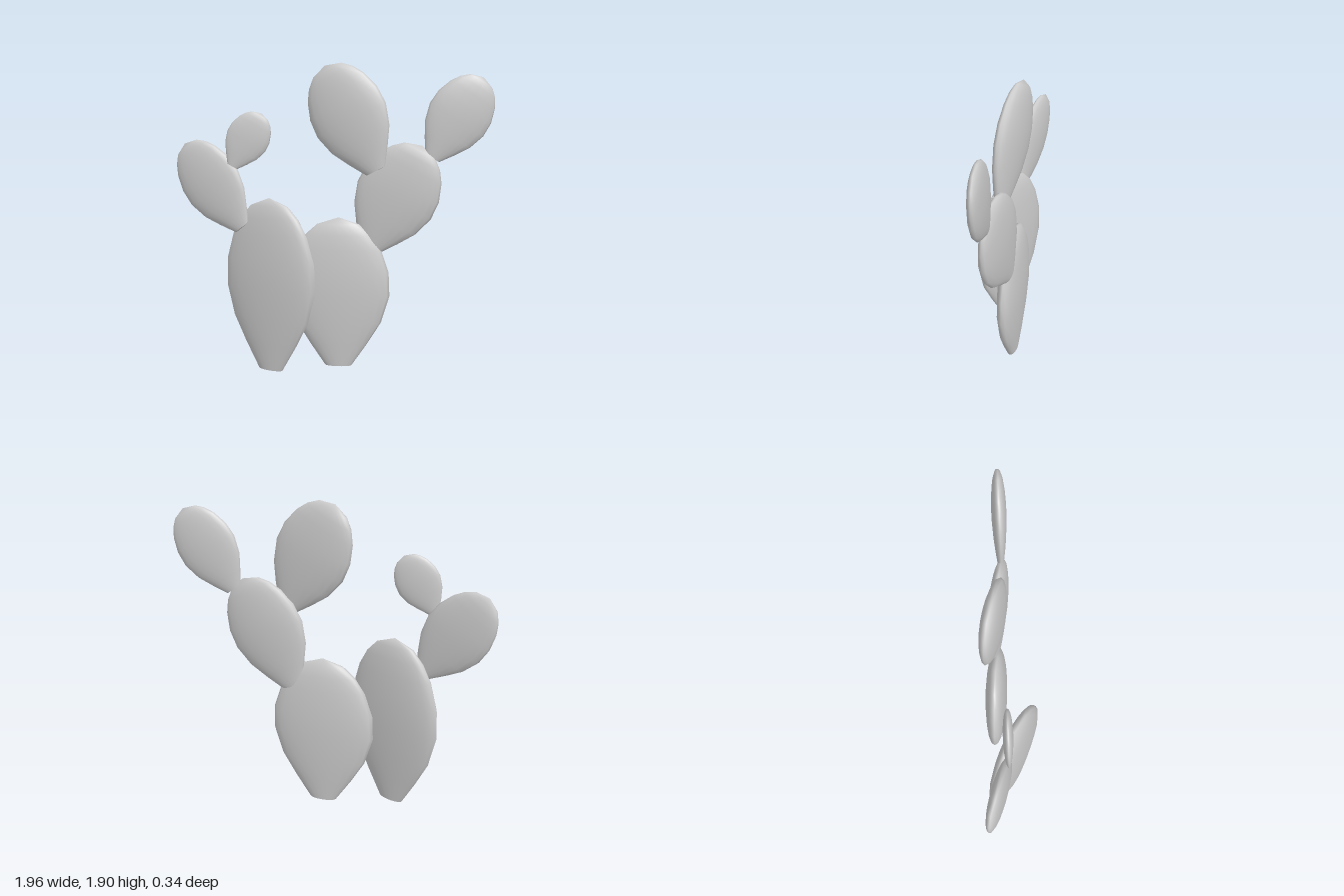
import * as THREE from 'three';
import { mergeVertices } from 'three/addons/utils/BufferGeometryUtils.js';

const SEGMENTS = 20;
// pad outline as [height, half width, half thickness], all relative
const PROFILE = [
  [0, 0.26, 0.47], [0.15, 0.56, 0.7], [0.3, 0.83, 0.87], [0.48, 0.99, 1], [0.64, 0.97, 1],
  [0.79, 0.82, 0.87], [0.885, 0.64, 0.7], [0.955, 0.41, 0.46], [1, 0, 0],
];

const material = new THREE.MeshStandardMaterial({ color: 0xcccccc });

// a flattened egg: a lathe whose depth is squeezed to the thickness profile
function padGeometry(length, halfWidth, halfThickness) {
  const points = PROFILE.map(([h, w]) => new THREE.Vector2(w * halfWidth, h * length));
  let geometry = new THREE.LatheGeometry(points, SEGMENTS);
  const position = geometry.attributes.position;
  for (let i = 0; i < position.count; i++) {
    const [, w, t] = PROFILE[i % PROFILE.length];
    if (w > 0) position.setZ(i, position.getZ(i) * (t * halfThickness) / (w * halfWidth));
  }
  geometry.deleteAttribute('uv');
  geometry.deleteAttribute('normal');
  geometry = mergeVertices(geometry, 1e-5);
  geometry.computeVertexNormals();
  return geometry;
}

// tilt leans the pad in its own plane, turn then spins it about the vertical
function makePad({ name, base, length, halfWidth, halfThickness, tilt = 0, turn = 0 }) {
  const pad = new THREE.Group();
  pad.name = name;
  const body = new THREE.Mesh(padGeometry(length, halfWidth, halfThickness), material);
  body.name = name + 'Body';

  // flat cut at the foot of the pad
  const [, w, t] = PROFILE[0];
  const foot = new THREE.CircleGeometry(1, SEGMENTS);
  foot.rotateX(Math.PI / 2);
  foot.scale(w * halfWidth, 1, t * halfThickness);
  const cut = new THREE.Mesh(foot, material);
  cut.name = name + 'Foot';

  pad.add(body, cut);
  pad.position.set(...base);
  pad.rotation.set(0, turn, tilt, 'YXZ');
  return pad;
}

export function createModel() {
  const cactus = new THREE.Group();
  cactus.name = 'padCactus';
  const pads = [
    // two pads rooted in the ground
    { name: 'rightTrunkPad', base: [-0.367, 0, 0.03], length: 1.08, halfWidth: 0.33, halfThickness: 0.07, turn: -0.41 },
    { name: 'leftTrunkPad', base: [0.045, 0, -0.1], length: 0.95, halfWidth: 0.325, halfThickness: 0.07 },
    // branch on the right
    { name: 'rightBranchPad', base: [-0.545, 0.89, 0], length: 0.64, halfWidth: 0.2, halfThickness: 0.045, tilt: 0.64, turn: -0.2 },
    { name: 'rightTipPad', base: [-0.598, 1.27, 0.007], length: 0.37, halfWidth: 0.133, halfThickness: 0.028, tilt: -0.52, turn: 0.07 },
    // branch on the left with two pads on top
    { name: 'leftBranchPad', base: [0.234, 0.755, -0.115], length: 0.72, halfWidth: 0.257, halfThickness: 0.055, tilt: -0.467, turn: -0.1 },
    { name: 'topPad', base: [0.276, 1.241, -0.075], length: 0.716, halfWidth: 0.242, halfThickness: 0.058, tilt: 0.467, turn: -0.15 },
    { name: 'leftTipPad', base: [0.616, 1.325, -0.085], length: 0.565, halfWidth: 0.192, halfThickness: 0.043, tilt: -0.558, turn: 0.08 },
  ];
  for (const pad of pads) cactus.add(makePad(pad));
  return cactus;
}
